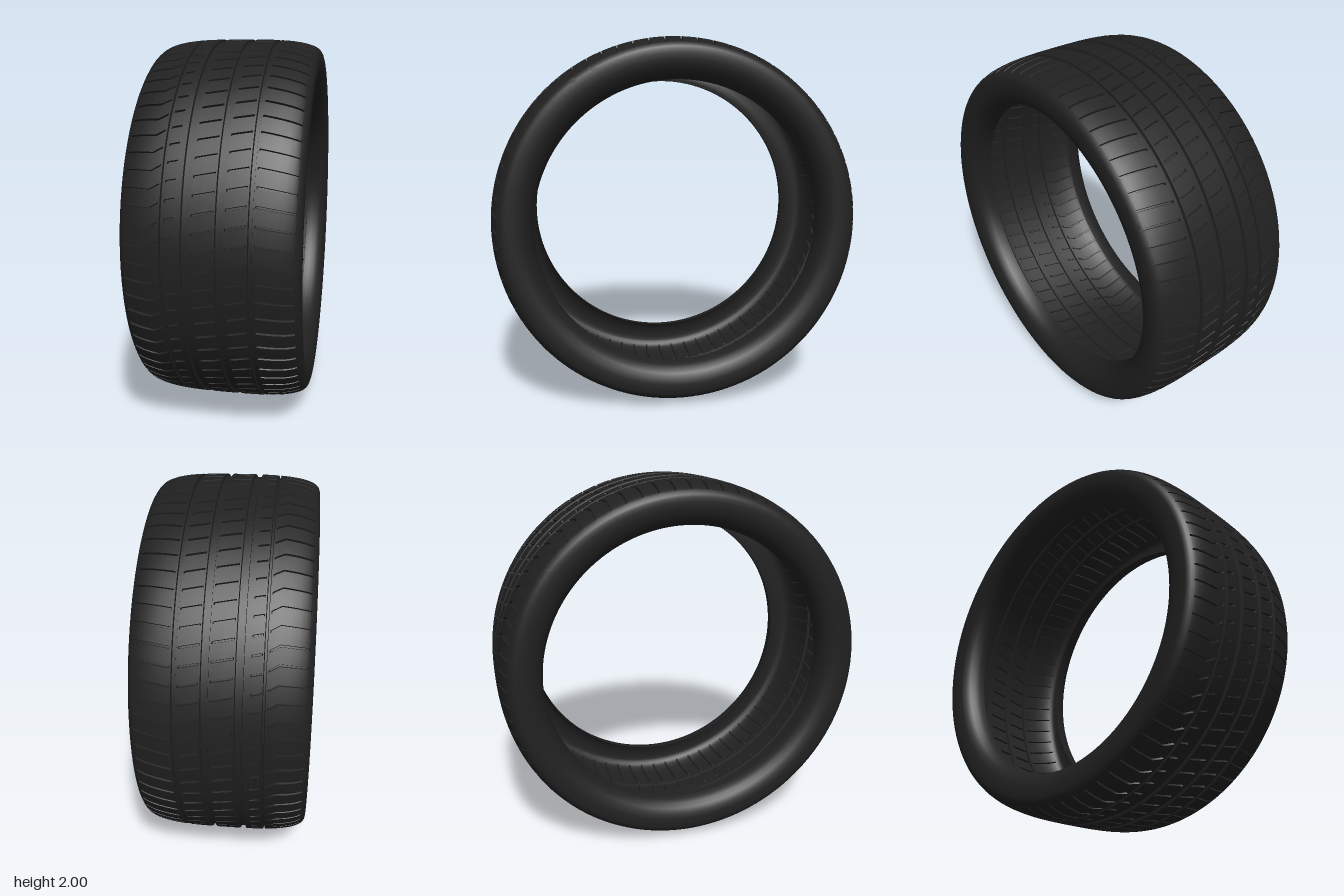
import * as THREE from 'three';
import { toCreasedNormals } from 'three/addons/utils/BufferGeometryUtils.js';

const HALF = 0.425;        // half width of the tyre
const PITCHES = 72;        // tread blocks around the circumference
const GROOVE_DEPTH = 0.015;
const SLIT_DEPTH = 0.012;

// crown radius across the width, rounding off at the shoulders
const crown = x => 0.9 + 0.1 * Math.cbrt(Math.max(0, 1 - Math.pow(Math.abs(x) / HALF, 3)));

// angular lead of the slits across the width
const LEAD = [[-0.4, 0], [-0.27, -0.01], [-0.2, 0.03], [0.2, 0.11], [0.4, 0.08]];
function lead(x) {
  if (x <= LEAD[0][0]) return LEAD[0][1];
  for (let i = 1; i < LEAD.length; i++) {
    const [x0, a0] = LEAD[i - 1], [x1, a1] = LEAD[i];
    if (x <= x1) return a0 + (a1 - a0) * (x - x0) / (x1 - x0);
  }
  return LEAD[LEAD.length - 1][1];
}

// cross-section columns from bead to bead: x, radius, slit depth
function crossSection() {
  const cols = [];
  const add = (x, drop = 0, slit = 0) => cols.push({ x, r: crown(x) - drop, slit });
  const rib = (...xs) => xs.forEach(x => add(x));
  const slits = (a, b, ...inner) => {
    add(a);
    [a + 0.004, ...inner, b - 0.004].forEach(x => add(x, 0, SLIT_DEPTH));
    add(b);
  };
  const groove = (a, b) => {
    add(a);
    add(a + 0.003, GROOVE_DEPTH);
    add(b - 0.003, GROOVE_DEPTH);
    add(b);
  };
  // sidewall curling in to the bead
  const side = [[0.3, 0.77], [0.33, 0.771], [0.36, 0.779], [0.385, 0.793],
    [0.405, 0.813], [0.418, 0.84], [0.425, 0.87]];
  side.forEach(([x, r]) => cols.push({ x: -x, r, slit: 0 }));

  rib(-0.425, -0.424, -0.42, -0.412);
  slits(-0.4, -0.222, -0.38, -0.35, -0.31, -0.27, -0.24);
  groove(-0.215, -0.2);
  slits(-0.195, -0.145);
  groove(-0.115, -0.075);
  slits(-0.068, 0.035, -0.02);
  groove(0.042, 0.08);
  slits(0.086, 0.183, 0.135);
  groove(0.19, 0.212);
  slits(0.22, 0.4, 0.25, 0.28, 0.31, 0.35, 0.38);
  rib(0.412, 0.42, 0.424, 0.425);

  side.reverse().forEach(([x, r]) => cols.push({ x, r, slit: 0 }));
  return cols;
}

// sweep the section around the axle, with rows following the slanted slits
function tyreGeometry() {
  const cols = crossSection();
  const rows = [];
  for (let p = 0; p < PITCHES; p++) {
    [[0, 0], [0.02, 1], [0.12, 1], [0.14, 0], [0.57, 0]].forEach(([f, cut]) =>
      rows.push({ a: (p + f) * 2 * Math.PI / PITCHES, cut }));
  }
  const pos = [], index = [], n = cols.length;
  for (const row of rows) {
    for (const c of cols) {
      const a = row.a + lead(c.x), r = c.r - row.cut * c.slit;
      pos.push(c.x, r * Math.sin(a), r * Math.cos(a));
    }
  }
  for (let j = 0; j < rows.length; j++) {
    const k = (j + 1) % rows.length;
    for (let i = 0; i < n - 1; i++) {
      const a = j * n + i, b = k * n + i;
      index.push(a, a + 1, b + 1, a, b + 1, b);
    }
  }
  const geo = new THREE.BufferGeometry();
  geo.setAttribute('position', new THREE.Float32BufferAttribute(pos, 3));
  geo.setIndex(index);
  return toCreasedNormals(geo, 0.6);
}

export function createModel() {
  const group = new THREE.Group();
  group.name = 'tyre';
  const rubber = new THREE.MeshStandardMaterial({ color: 0x202020, side: THREE.DoubleSide });
  const shell = new THREE.Mesh(tyreGeometry(), rubber);
  shell.name = 'treadAndSidewalls';
  shell.position.y = 1;
  group.add(shell);
  return group;
}
